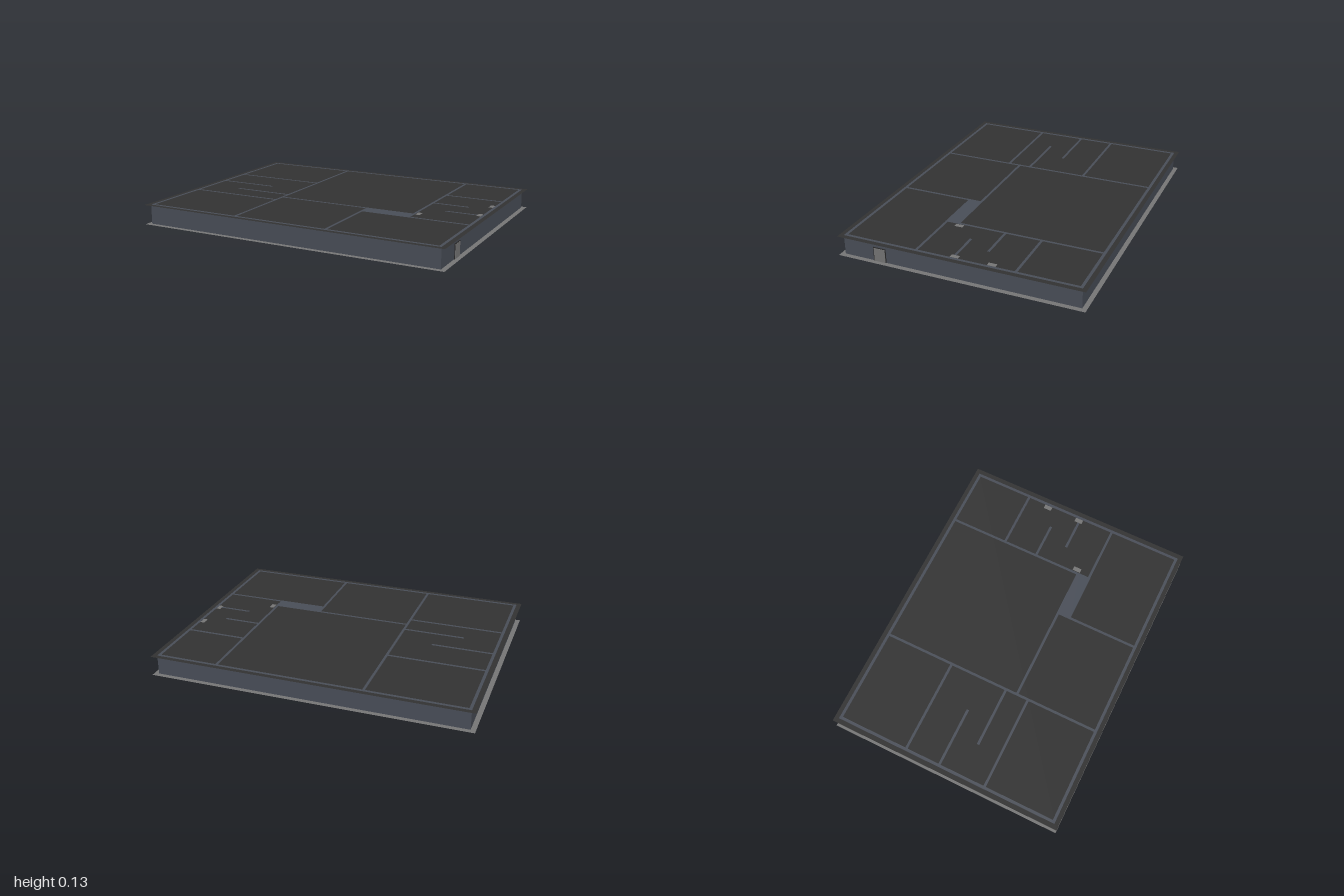
import * as THREE from 'three';

export function createModel() {
  const group = new THREE.Group();
  const mat = (name, color, side = THREE.FrontSide) => {
    const m = new THREE.MeshStandardMaterial({ color, side });
    m.name = name;
    return m;
  };
  const slate = mat('slate wall', 0x4a4f59);
  const charcoal = mat('charcoal ceiling', 0x333333, THREE.DoubleSide);
  const grey = mat('grey floor', 0x777777, THREE.DoubleSide);
  const dark = mat('dark trim', 0x2b2b2b);

  const H = 0.125;

  // Box given by its extents in x, y and z
  function box(name, x0, x1, y0, y1, z0, z1, material, parent = group) {
    const mesh = new THREE.Mesh(new THREE.BoxGeometry(x1 - x0, y1 - y0, z1 - z0), material);
    mesh.position.set((x0 + x1) / 2, (y0 + y1) / 2, (z0 + z1) / 2);
    mesh.name = name;
    parent.add(mesh);
    return mesh;
  }

  // Floor and ceiling sheets that overhang the walls
  function sheet(name, y, material) {
    const mesh = new THREE.Mesh(new THREE.PlaneGeometry(2, 1.536).rotateX(-Math.PI / 2), material);
    mesh.position.y = y;
    mesh.name = name;
    group.add(mesh);
  }
  sheet('floor', 0, grey);
  sheet('ceiling', H - 0.0006, charcoal);

  // Outer walls
  const X = 0.97, Z = 0.74, T = 0.018, Y0 = 0.0005;
  box('frontWall', -X, X, Y0, H, Z - T, Z, slate);
  box('backWall', -X, X, Y0, H, -Z, -Z + T, slate);
  for (const s of [-1, 1]) {
    const c = s * (X - T / 2);
    box(s > 0 ? 'leftWall' : 'rightWall', c - T / 2, c + T / 2, Y0, H, -Z + T, Z - T, slate);
  }

  // Partitions running front to back: x, z start, z end
  const t = 0.008;
  for (const [x, z0, z1] of [
    [-0.346, -0.722, 0.722],
    [0.577, -0.722, 0.19],
    [0.268, 0.27, 0.722],
  ]) box('partition', x - t, x + t, Y0, H, z0, z1, slate);

  // Partitions running side to side: z, x start, x end
  for (const [z, x0, x1] of [
    [-0.272, -0.952, -0.354],
    [-0.043, -0.952, -0.57],
    [0.113, -0.74, -0.354],
    [0.266, -0.952, -0.354],
    [0.188, -0.338, 0.585],
    [-0.35, 0.585, 0.952],
    [-0.12, 0.585, 0.815],
    [0.035, 0.72, 0.952],
    [0.266, 0.585, 0.952],
  ]) box('partition', x0, x1, Y0, H, z - t, z + t, slate);

  // Solid core between the hall and the front rooms
  box('solidCore', 0.26, 0.585, Y0, H, 0.196, 0.275, slate);

  // Small service columns
  for (const [x, z] of [[0.937, -0.2], [0.937, 0.03], [0.603, 0.17]])
    box('serviceColumn', x - 0.014, x + 0.014, Y0, H + 0.0002, z - 0.026, z + 0.026, grey);

  // Side door with a dark frame
  const door = new THREE.Group();
  door.name = 'door';
  group.add(door);
  box('doorFrame', X, X + 0.003, 0.0005, 0.09, 0.461, 0.543, dark, door);
  box('doorPanel', X + 0.001, X + 0.005, 0.0005, 0.085, 0.466, 0.538, grey, door);

  // Rows of desks in the main hall
  for (let i = 0; i < 5; i++) {
    for (let j = 0; j < 5; j++) {
      const x = -0.25 + i * 0.17, z = -0.6 + j * 0.16;
      const desk = new THREE.Group();
      desk.name = 'desk';
      group.add(desk);
      box('deskTop', x - 0.03, x + 0.03, 0.034, 0.039, z - 0.05, z + 0.05, dark, desk);
      for (const s of [-1, 1])
        box('deskSide', x - 0.025, x + 0.025, Y0, 0.034, z + s * 0.043 - 0.003, z + s * 0.043 + 0.003, dark, desk);
    }
  }

  return group;
}
